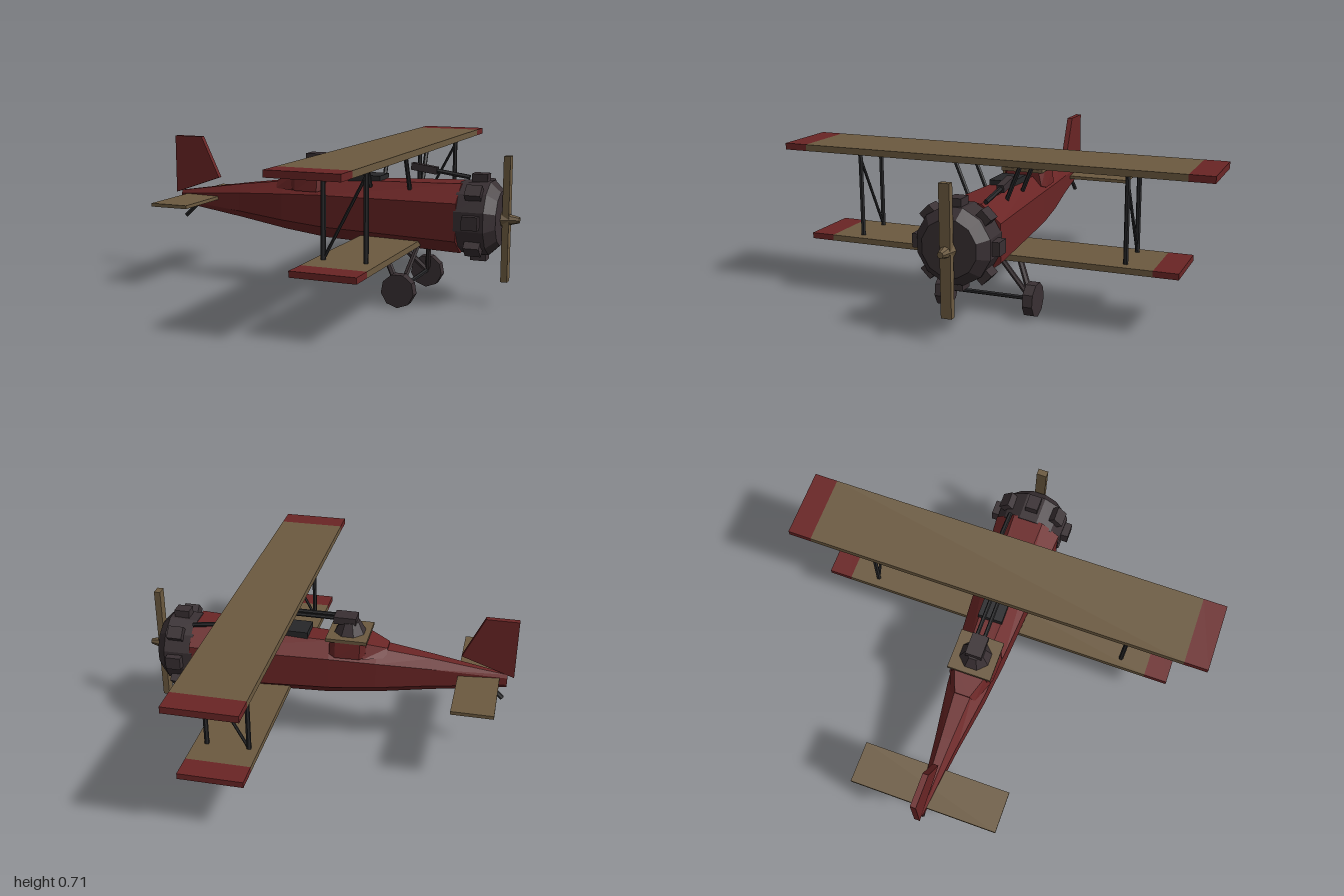
import * as THREE from 'three';

const mat = (name, color) => {
  const m = new THREE.MeshStandardMaterial({ color, flatShading: true });
  m.name = name;
  return m;
};

export function createModel() {
  const red = mat('dark red', 0x6a2525);
  const tan = mat('khaki', 0x6c5a40);
  const dark = mat('gunmetal', 0x393033);
  const black = mat('strut black', 0x272729);
  const plane = new THREE.Group();
  plane.name = 'biplane';

  const add = (name, geo, m) => {
    const mesh = new THREE.Mesh(geo, m);
    mesh.name = name;
    plane.add(mesh);
    return mesh;
  };
  // box given by its min and max on every axis
  const box = (name, m, x0, x1, y0, y1, z0, z1) => {
    const b = add(name, new THREE.BoxGeometry(x1 - x0, y1 - y0, z1 - z0), m);
    b.position.set((x0 + x1) / 2, (y0 + y1) / 2, (z0 + z1) / 2);
    return b;
  };
  // straight rod between two points
  const rod = (name, m, a, b, r, sides = 6) => {
    const p = new THREE.Vector3(...a), q = new THREE.Vector3(...b);
    const d = q.clone().sub(p);
    const c = add(name, new THREE.CylinderGeometry(r, r, d.length(), sides), m);
    c.position.copy(p).add(q).multiplyScalar(0.5);
    c.quaternion.setFromUnitVectors(new THREE.Vector3(0, 1, 0), d.normalize());
    return c;
  };
  // skin through rings of [z, y] corners placed along x, capped at both ends
  const loft = (rings) => {
    const v = [], n = rings[0].length, first = rings[0], last = rings[rings.length - 1];
    for (let i = 0; i < n; i++) {
      const j = (i + 1) % n;
      for (let k = 0; k + 1 < rings.length; k++) {
        const a = rings[k], b = rings[k + 1];
        v.push(...a[i], ...b[i], ...b[j], ...a[i], ...b[j], ...a[j]);
      }
      if (i > 0 && i < n - 1) {
        v.push(...first[0], ...first[i], ...first[j], ...last[0], ...last[j], ...last[i]);
      }
    }
    const g = new THREE.BufferGeometry();
    g.setAttribute('position', new THREE.Float32BufferAttribute(v, 3));
    g.computeVertexNormals();
    return g;
  };

  // eight-sided fuselage: x, top, bottom, half width
  const section = ([x, top, bottom, w]) => {
    const up = top - 0.4, dn = 0.4 - bottom;
    return [[1, -0.58], [1, 0.5], [0.45, 1], [-0.45, 1], [-1, 0.5], [-1, -0.58], [-0.45, -1], [0.45, -1]]
      .map(([z, y]) => [x, 0.4 + y * (y > 0 ? up : dn), z * w]);
  };
  add('fuselage', loft([
    [-0.85, 0.43, 0.365, 0.015], [-0.5, 0.483, 0.318, 0.055], [-0.25, 0.515, 0.281, 0.09],
    [-0.03, 0.535, 0.257, 0.112], [0.63, 0.555, 0.24, 0.158],
  ].map(section)), red);

  // engine cowling with cylinder heads around it
  const cowl = add('engineCowling', new THREE.LatheGeometry(
    [[0, 0.62], [0.165, 0.62], [0.17, 0.755], [0.125, 0.8], [0, 0.8]].map(p => new THREE.Vector2(...p)), 12), dark);
  cowl.rotation.set(Math.PI / 12, 0, -Math.PI / 2);
  cowl.position.y = 0.4;
  for (let i = 0; i < 8; i++) {
    const a = i * Math.PI / 4;
    const head = add('cylinderHead', new THREE.BoxGeometry(0.072, 0.06, 0.06), dark);
    head.position.set(0.702, 0.4 + Math.cos(a) * 0.167, Math.sin(a) * 0.167);
    head.rotation.x = a;
  }

  // propeller and hub
  box('propellerBlade', tan, 0.806, 0.836, 0.112, 0.68, -0.024, 0.024);
  const hub = add('propellerHub', new THREE.CylinderGeometry(0.014, 0.034, 0.08, 8), tan);
  hub.rotation.z = -Math.PI / 2;
  hub.position.set(0.84, 0.396, 0);

  // wings with red tips
  const wing = (name, x0, x1, y0, y1, inner, outer) => {
    box(name, tan, x0, x1, y0, y1, -inner, inner);
    box(name + 'Tip', red, x0, x1, y0, y1, inner, outer);
    box(name + 'Tip', red, x0, x1, y0, y1, -outer, -inner);
  };
  wing('upperWing', 0.12, 0.44, 0.676, 0.706, 0.89, 1);
  wing('lowerWing', 0.16, 0.45, 0.263, 0.29, 0.76, 0.87);

  // tail surfaces
  box('tailplane', tan, -0.815, -0.625, 0.399, 0.415, -0.345, 0.345);
  const finShape = new THREE.Shape([[-0.88, 0.42], [-0.635, 0.505], [-0.73, 0.706], [-0.88, 0.706]]
    .map(p => new THREE.Vector2(...p)));
  add('tailFin', new THREE.ExtrudeGeometry(finShape, { depth: 0.026, bevelEnabled: false }), red).position.z = -0.013;
  rod('tailSkid', black, [-0.835, 0.3, 0], [-0.76, 0.37, 0], 0.011);

  // struts and landing gear, mirrored
  for (const s of [-1, 1]) {
    for (const x of [0.205, 0.395]) {
      rod('wingStrut', black, [x, 0.28, s * 0.63], [x, 0.68, s * 0.63], 0.011);
      rod('cabaneStrut', black, [x, 0.52, s * 0.09], [x, 0.68, s * 0.155], 0.01);
    }
    rod('wingBrace', black, [0.205, 0.29, s * 0.63], [0.41, 0.68, s * 0.63], 0.007);
    rod('rearGearStrut', dark, [0.25, 0.265, s * 0.08], [0.385, 0.085, s * 0.2], 0.014);
    rod('frontGearStrut', dark, [0.435, 0.265, s * 0.08], [0.395, 0.085, s * 0.2], 0.012);
    const wheel = add('wheel', new THREE.CylinderGeometry(0.078, 0.078, 0.046, 9), dark);
    wheel.rotation.x = Math.PI / 2;
    wheel.position.set(0.39, 0.078, s * 0.211);
  }
  rod('axle', black, [0.39, 0.08, -0.2], [0.39, 0.08, 0.2], 0.01);

  // pilot's cockpit opening and fixed gun
  box('cockpitOpening', black, 0.08, 0.24, 0.535, 0.566, -0.058, 0.058);
  rod('fixedGunBarrel', black, [0.36, 0.6, -0.09], [0.625, 0.563, -0.09], 0.011);
  const breech = box('fixedGunBreech', dark, 0.345, 0.47, 0.577, 0.61, -0.107, -0.073);
  breech.rotation.z = -0.14;

  // rear gunner's position with a sloping fairing behind
  const slab = (x, y0, y1, w0, w1) => [[x, y0, w0], [x, y1, w1], [x, y1, -w1], [x, y0, -w0]];
  add('rearFairing', loft([slab(-0.295, 0.48, 0.518, 0.06, 0.035), slab(-0.19, 0.48, 0.55, 0.1, 0.075)]), red);
  add('gunnerCoaming', loft([
    slab(-0.2, 0.49, 0.556, 0.09, 0.08), slab(-0.175, 0.48, 0.556, 0.105, 0.1),
    slab(-0.06, 0.48, 0.556, 0.11, 0.1), slab(-0.03, 0.49, 0.556, 0.095, 0.08),
  ]), red);
  box('gunnerDeck', tan, -0.207, -0.015, 0.556, 0.572, -0.103, 0.103);
  const mount = add('gunMount', new THREE.CylinderGeometry(0.045, 0.075, 0.055, 8), dark);
  mount.rotation.y = Math.PI / 8;
  mount.position.set(-0.112, 0.599, 0);
  box('gunBody', dark, -0.145, -0.04, 0.618, 0.652, -0.038, 0.038);
  for (const z of [-0.018, 0.018]) {
    rod('rearGunBarrel', black, [-0.05, 0.639, z], [0.16, 0.639, z], 0.009);
  }

  return plane;
}
